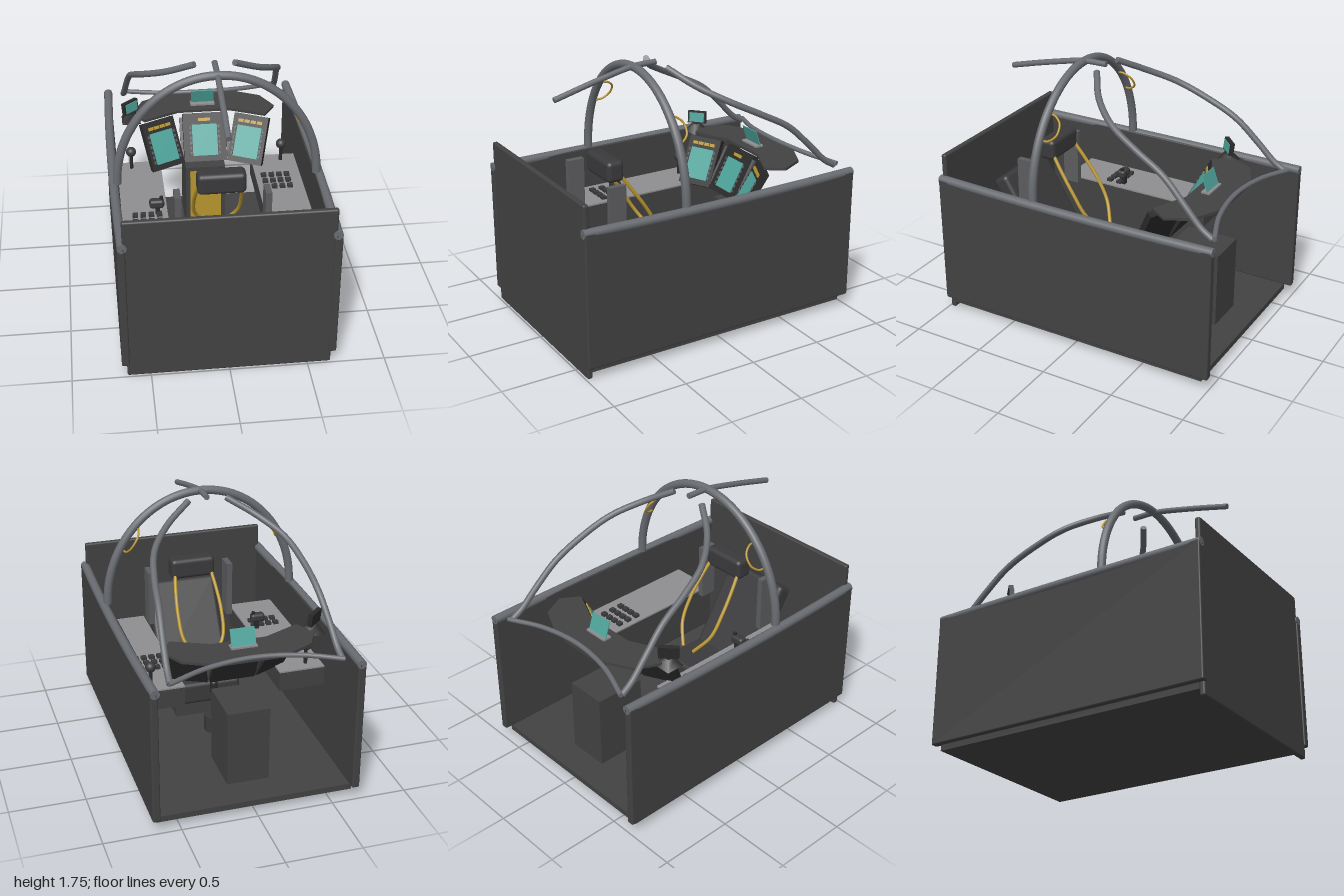
import * as THREE from 'three';
import { RoundedBoxGeometry } from 'three/addons/geometries/RoundedBoxGeometry.js';

const mat = (name, color, double) => {
  const m = new THREE.MeshStandardMaterial({ color });
  m.name = name;
  if (double) m.side = THREE.DoubleSide;
  return m;
};

export function createModel() {
  const shell = mat('shell grey', 0x424242);
  const seatMat = mat('seat grey', 0x3a3a3c);
  const black = mat('panel black', 0x2a2a2a);
  const pipe = mat('pipe grey', 0x686b70);
  const light = mat('console grey', 0x8e8e90);
  const mid = mat('trim grey', 0x5c5d60);
  const teal = mat('screen teal', 0x4fa59c, true);
  const gold = mat('strap gold', 0xb8952f);

  const model = new THREE.Group();
  model.name = 'cockpit';

  const add = (name, geo, material, parent = model) => {
    const m = new THREE.Mesh(geo, material);
    m.name = name;
    parent.add(m);
    return m;
  };
  // Box given by its limits on each axis, optionally rounded
  const box = (name, x0, x1, y0, y1, z0, z1, material, r = 0, parent = model) => {
    const s = [x1 - x0, y1 - y0, z1 - z0];
    const m = add(name, r ? new RoundedBoxGeometry(...s, 3, r) : new THREE.BoxGeometry(...s), material, parent);
    m.position.set((x0 + x1) / 2, (y0 + y1) / 2, (z0 + z1) / 2);
    return m;
  };
  // Capped pipe along a smooth curve
  const tube = (name, pts, r, material, seg = 48) => {
    const v = pts.map(p => new THREE.Vector3(...p));
    const curve = new THREE.CatmullRomCurve3(v);
    const g = new THREE.Group();
    g.name = name;
    add(name + 'Body', new THREE.TubeGeometry(curve, seg, r, 14), material, g);
    for (const t of [0, 1]) {
      const cap = add(name + 'Cap', new THREE.CircleGeometry(r, 14), material, g);
      cap.position.copy(curve.getPoint(t));
      const dir = curve.getTangent(t).multiplyScalar(t ? 1 : -1);
      cap.quaternion.setFromUnitVectors(new THREE.Vector3(0, 0, 1), dir);
    }
    model.add(g);
    return g;
  };

  // Tub: floor, end wall, side walls
  box('floor', -0.65, 0.65, 0.045, 0.085, -0.945, 0.955, shell);
  box('endWall', -0.65, 0.65, 0, 1.155, 0.953, 0.99, shell, 0.012);
  for (const s of [-1, 1]) {
    const side = s > 0 ? 'left' : 'right';
    box(side + 'Wall', s * 0.658 - 0.025, s * 0.658 + 0.025, 0.085, 0.985, -1, 1, shell, 0.01);
    tube(side + 'Rail', [[s * 0.652, 0.977, 1], [s * 0.664, 0.973, 0.5], [s * 0.668, 0.971, 0],
      [s * 0.664, 0.973, -0.5], [s * 0.652, 0.977, -1]], 0.03, pipe);

    // Canopy side bar sweeping down to the nose
    tube(side + 'CanopyBar', [[s * 0.127, 1.725, 0.11], [s * 0.3, 1.625, -0.01], [s * 0.43, 1.53, -0.18],
      [s * 0.485, 1.43, -0.38], [s * 0.51, 1.32, -0.58], [s * 0.53, 1.17, -0.74],
      [s * 0.54, 1.05, -0.86], [s * 0.545, 1.0, -0.94]], 0.021, pipe);

    // Grab loop on the hoop
    tube(side + 'GrabLoop', [[s * 0.425, 1.512, 0.27], [s * 0.43, 1.508, 0.235], [s * 0.45, 1.475, 0.19],
      [s * 0.475, 1.438, 0.18], [s * 0.5, 1.4, 0.19], [s * 0.52, 1.367, 0.235], [s * 0.525, 1.364, 0.27]], 0.007, gold);

    // Console body and its top plate
    box(side + 'Console', s * 0.475 - 0.155, s * 0.475 + 0.155, 0.56, 0.69, -0.46, 0.62, shell);
    box(side + 'ConsoleTop', s * 0.475 - 0.155, s * 0.475 + 0.155, 0.69, 0.7, -0.46, 0.62, light);

    // Knob lever on the console
    const post = add(side + 'LeverPost', new THREE.CylinderGeometry(0.012, 0.012, 0.13, 12), black);
    post.position.set(s * 0.525, 0.75, -0.385);
    const knob = add(side + 'LeverKnob', new THREE.SphereGeometry(0.035, 20, 14), seatMat);
    knob.position.set(s * 0.525, 0.83, -0.385);

    // Seat wing and shoulder strap
    box(side + 'SeatWing', s * 0.284 - 0.02, s * 0.284 + 0.02, 0.68, 1.07, 0.51, 0.625, mid);
    tube(side + 'Strap', [[s * 0.13, 1.06, 0.45], [s * 0.145, 0.96, 0.38], [s * 0.155, 0.83, 0.29],
      [s * 0.14, 0.68, 0.2], [s * 0.05, 0.55, 0.12]], 0.012, gold);
  }

  // Main hoop, spine and nose crossbar
  const hoop = [];
  for (let i = 0; i <= 24; i++) {
    const a = Math.PI * i / 24;
    hoop.push([0.645 * Math.cos(a), 0.995 + 0.732 * Math.sin(a), 0.28]);
  }
  tube('mainHoop', hoop, 0.028, pipe, 72);
  tube('spine', [[0, 1.595, 0.84], [0, 1.67, 0.55], [0, 1.728, 0.28], [0, 1.735, 0.115]], 0.019, pipe);
  tube('noseCrossbar', [[-0.555, 1.01, -0.955], [-0.3, 1.03, -0.865], [0, 1.04, -0.83],
    [0.3, 1.03, -0.865], [0.555, 1.01, -0.955]], 0.016, pipe);

  // Seat
  box('seatCushion', -0.25, 0.25, 0.2, 0.36, 0.14, 0.72, seatMat, 0.03);
  box('seatBase', -0.2, 0.2, 0.085, 0.21, 0.2, 0.7, shell);
  const back = box('seatBack', -0.25, 0.25, 0.26, 0.9, 0.6, 0.72, seatMat, 0.03);
  back.rotation.x = 0.55;
  box('headrest', -0.155, 0.155, 1.03, 1.172, 0.435, 0.555, seatMat, 0.03);

  // Console buttons and throttle
  const keyGeo = new THREE.BoxGeometry(0.036, 0.02, 0.036);
  const keyGrid = (name, xs, zs) => xs.forEach(x => zs.forEach(z =>
    add(name, keyGeo, seatMat).position.set(x, 0.71, z)));
  keyGrid('leftConsoleKey', [0.375, 0.428, 0.481, 0.534], [-0.175, -0.1, -0.025]);
  keyGrid('rightConsoleKey', [-0.536, -0.483, -0.43, -0.377], [0.235, 0.31]);
  box('throttleArm', -0.4, -0.37, 0.7, 0.77, 0.19, 0.22, black);
  box('throttleGrip', -0.44, -0.342, 0.75, 0.81, 0.18, 0.24, seatMat, 0.02);
  add('throttleButton', new THREE.CylinderGeometry(0.012, 0.012, 0.02, 14), black).position.set(-0.36, 0.815, 0.205);

  // Centre stick
  box('stickBase', -0.06, 0.06, 0.085, 0.2, -0.05, 0.0, seatMat);
  const hump = add('stickHump', new THREE.CylinderGeometry(0.06, 0.06, 0.115, 24), seatMat);
  hump.position.set(0, 0.1425, -0.03);
  add('stickShaft', new THREE.CylinderGeometry(0.014, 0.018, 0.22, 14), black).position.set(0, 0.3, -0.04);
  add('stickGrip', new THREE.CapsuleGeometry(0.026, 0.06, 6, 16), black).position.set(0, 0.42, -0.04);

  // Pedestal under the dash with its gold cover
  box('pedestal', -0.14, 0.14, 0.13, 0.64, -0.79, -0.44, shell);
  box('pedestalCover', -0.11, 0.11, 0.17, 0.61, -0.44, -0.433, gold);

  // Three instrument panels, each with a screen, amber labels and bezel keys
  const panel = (name, x, z, yaw, w, labels) => {
    const g = new THREE.Group();
    g.name = name;
    g.position.set(x, 0.86, z);
    g.rotation.set(-0.5, yaw, 0, 'YXZ');
    box(name + 'Body', -w / 2, w / 2, -0.17, 0.17, -0.045, 0, black, 0, g);
    box(name + 'Screen', -0.088, 0.088, -0.13, 0.09, 0, 0.006, teal, 0, g);
    for (let i = 0; i < labels; i++) {
      const lx = (i - (labels - 1) / 2) * 0.045;
      const hw = labels === 1 ? 0.042 : 0.019;
      box(name + 'Label', lx - hw, lx + hw, 0.112, 0.134, 0, 0.008, gold, 0, g);
    }
    for (const s of [-1, 1]) for (let i = 0; i < 6; i++) {
      const ky = -0.11 + i * 0.036;
      box(name + 'Key', s * 0.1 - 0.006, s * 0.1 + 0.006, ky - 0.01, ky + 0.01, 0, 0.008, mid, 0, g);
    }
    model.add(g);
  };
  panel('centrePanel', 0, -0.485, 0, 0.3, 1);
  for (const s of [-1, 1]) {
    panel(s > 0 ? 'leftPanel' : 'rightPanel', s * 0.295, -0.42, -s * 0.45, 0.25, 4);
    // Trim strip covering the seam between panels
    const strip = box('panelSeam', s * 0.163 - 0.01, s * 0.163 + 0.01, 0.7, 1.0, -0.5, -0.48, mid);
    strip.rotation.x = -0.5;
  }

  // Glare shield over the dash
  const half = [[0.18, -0.57], [0.42, -0.46], [0.5, -0.58], [0.42, -0.74], [0.22, -0.84]];
  const outline = [...half, ...half.slice().reverse().map(([x, z]) => [-x, z])];
  const shieldGeo = new THREE.ExtrudeGeometry(
    new THREE.Shape(outline.map(([x, z]) => new THREE.Vector2(x, -z))), { depth: 0.018, bevelEnabled: false });
  shieldGeo.rotateX(-Math.PI / 2);
  add('glareShield', shieldGeo, shell).position.y = 1.015;

  // Sight glass on the shield
  box('sightBase', -0.085, 0.085, 1.033, 1.045, -0.69, -0.63, light);
  const glass = box('sightGlass', -0.08, 0.08, 1.037, 1.153, -0.654, -0.648, teal);
  glass.rotation.x = 0.34;

  // Small side display on a wedge stand
  const stand = add('displayStand', new THREE.CylinderGeometry(0.035, 0.09, 0.06, 4, 1), black);
  stand.geometry.rotateY(Math.PI / 4);
  stand.position.set(-0.51, 1.03, -0.53);
  const display = new THREE.Group();
  display.name = 'sideDisplay';
  display.position.set(-0.505, 1.105, -0.525);
  display.rotation.set(-0.12, 0.75, 0, 'YXZ');
  box('sideDisplayBody', -0.065, 0.065, -0.043, 0.043, -0.03, 0, black, 0, display);
  box('sideDisplayScreen', -0.053, 0.053, -0.033, 0.033, 0, 0.005, teal, 0, display);
  model.add(display);

  return model;
}
